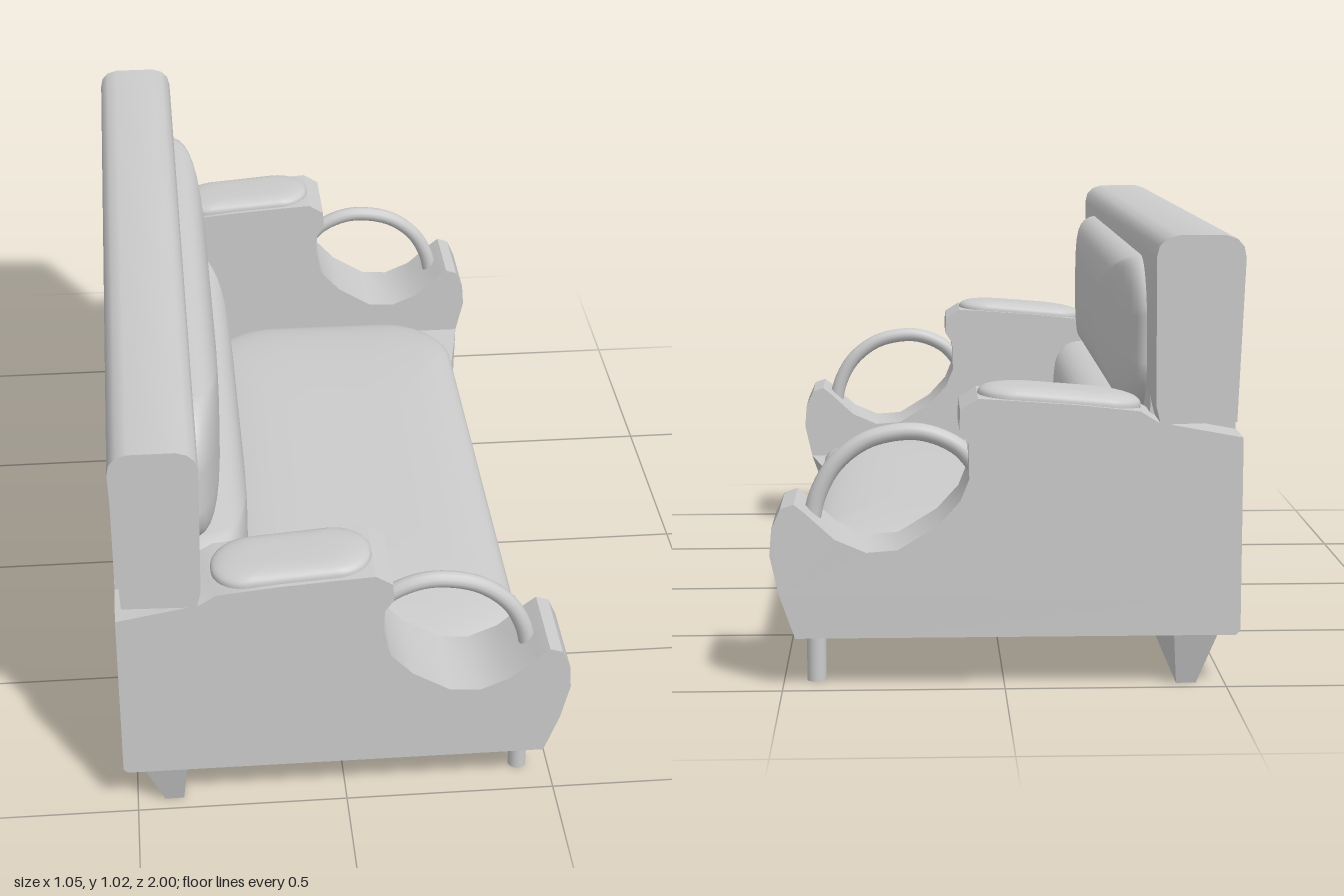
import * as THREE from 'three';
import { mergeVertices, toCreasedNormals } from 'three/addons/utils/BufferGeometryUtils.js';

const material = new THREE.MeshStandardMaterial({ color: 0xcccccc });

export function createModel() {
  const sofa = new THREE.Group();
  sofa.name = 'sofa';

  function add(name, geometry, x = 0, y = 0, z = 0) {
    const mesh = new THREE.Mesh(geometry, material);
    mesh.name = name;
    mesh.position.set(x, y, z);
    sofa.add(mesh);
    return mesh;
  }

  // Side profile (x, y) extruded along z, centred on z = 0
  function slab(points, width, steps = 1) {
    const shape = new THREE.Shape(points.map(([x, y]) => new THREE.Vector2(x, y)));
    const g = new THREE.ExtrudeGeometry(shape, { depth: width, steps, bevelEnabled: false });
    return g.translate(0, 0, -width / 2);
  }

  // Pillow lying flat: rounded-rectangle outline (x by z), domed section, underside cut off at -below
  function cushion(width, thickness, length, radius, below = thickness / 2) {
    const n = 48;
    const g = new THREE.SphereGeometry(1, n, 20, Math.PI / n);
    const p = g.attributes.position;
    for (let i = 0; i < p.count; i++) {
      const x = p.getX(i), y = p.getY(i), z = p.getZ(i);
      const r = Math.hypot(x, z);
      const s = Math.sqrt(r), d = Math.max(r, 1e-6);
      p.setXYZ(i,
        s * (Math.sign(x) * (width / 2 - radius) + radius * x / d),
        Math.max(-below, Math.sign(y) * Math.pow(Math.abs(y), 0.75) * thickness / 2),
        s * (Math.sign(z) * (length / 2 - radius) + radius * z / d));
    }
    g.deleteAttribute('uv');
    g.deleteAttribute('normal');
    const merged = mergeVertices(g, 1e-4);
    merged.computeVertexNormals();
    return merged;
  }

  // Base: channel open underneath, front edge drawn in between the arms
  const base = slab([
    [-0.52, 0.12], [-0.37, 0.12], [-0.37, 0.2], [0.27, 0.2], [0.27, 0.12],
    [0.47, 0.12], [0.505, 0.22], [-0.33, 0.22], [-0.53, 0.24], [-0.53, 0.13],
  ], 2, 10);
  const bp = base.attributes.position;
  for (let i = 0; i < bp.count; i++) {
    if (Math.abs(bp.getZ(i)) < 0.65 && bp.getX(i) > 0.48) bp.setX(i, 0.465);
  }
  base.computeVertexNormals();
  add('baseFrame', base);

  // Full-length rear plinth, tapered at its ends
  const plinth = slab([[-0.48, 0.125], [-0.435, 0], [-0.39, 0], [-0.38, 0.125]], 2);
  const pp = plinth.attributes.position;
  for (let i = 0; i < pp.count; i++) {
    if (pp.getY(i) < 0.01) pp.setZ(i, Math.sign(pp.getZ(i)) * 0.965);
  }
  plinth.computeVertexNormals();
  add('rearPlinth', plinth);

  // Backrest: overhanging top block and the panel running down flush behind it
  add('backTop', toCreasedNormals(slab([
    [-0.515, 0.605], [-0.345, 0.6], [-0.335, 0.64], [-0.332, 0.97], [-0.338, 0.995],
    [-0.355, 1.012], [-0.38, 1.02], [-0.485, 1.02], [-0.51, 1.012], [-0.525, 0.995], [-0.53, 0.97],
  ], 2), 0.6));
  add('backPanel', slab([
    [-0.528, 0.22], [-0.32, 0.22], [-0.335, 0.65], [-0.4, 0.9], [-0.53, 0.9],
  ], 1.76));

  // Seat and back cushions
  add('seatCushion', cushion(0.72, 0.14, 1.6, 0.2, 0.02), 0.1, 0.232, 0);
  const lower = add('lowerBackCushion', cushion(0.34, 0.24, 1.6, 0.12), -0.315, 0.41, 0);
  lower.rotation.z = -Math.PI / 2;
  const upper = add('upperBackCushion', cushion(0.37, 0.18, 1.6, 0.14), -0.35, 0.765, 0);
  upper.rotation.z = -Math.PI / 2;

  // Arm outline with the scooped front and raised tip
  const armProfile = [
    [-0.53, 0.24], [-0.33, 0.22], [0.505, 0.22], [0.525, 0.31], [0.52, 0.37], [0.5, 0.415],
    [0.47, 0.425], [0.445, 0.405], [0.38, 0.345], [0.31, 0.315], [0.24, 0.32], [0.15, 0.375],
    [0.1, 0.43], [0.08, 0.48], [0.082, 0.56], [0.102, 0.59], [0.1, 0.635], [0.06, 0.66],
    [-0.02, 0.655], [-0.16, 0.645], [-0.3, 0.63], [-0.34, 0.605], [-0.53, 0.57],
  ];
  const hoop = new THREE.CatmullRomCurve3([
    [0.06, 0.49], [0.1, 0.535], [0.16, 0.565], [0.22, 0.573],
    [0.31, 0.553], [0.38, 0.5], [0.42, 0.43], [0.44, 0.34],
  ].map(([x, y]) => new THREE.Vector3(x, y, 0)));

  for (const side of [-1, 1]) {
    const label = side < 0 ? 'right' : 'left';
    add(label + 'Arm', toCreasedNormals(slab(armProfile, 0.2), 0.6), 0, 0, side * 0.9);
    const pad = add(label + 'ArmPad', cushion(0.37, 0.06, 0.18, 0.085), -0.125, 0.645, side * 0.9);
    pad.rotation.z = 0.08;
    add(label + 'ArmHoop', new THREE.TubeGeometry(hoop, 40, 0.02, 12), 0, 0, side * 0.905);
    add(label + 'FrontLeg', new THREE.CylinderGeometry(0.022, 0.022, 0.13, 16), 0.426, 0.065, side * 0.905);
    // Closes the end of the base channel
    add(label + 'EndRail', new THREE.BoxGeometry(0.64, 0.08, 0.17), -0.05, 0.16, side * 0.915);
  }
  return sofa;
}
